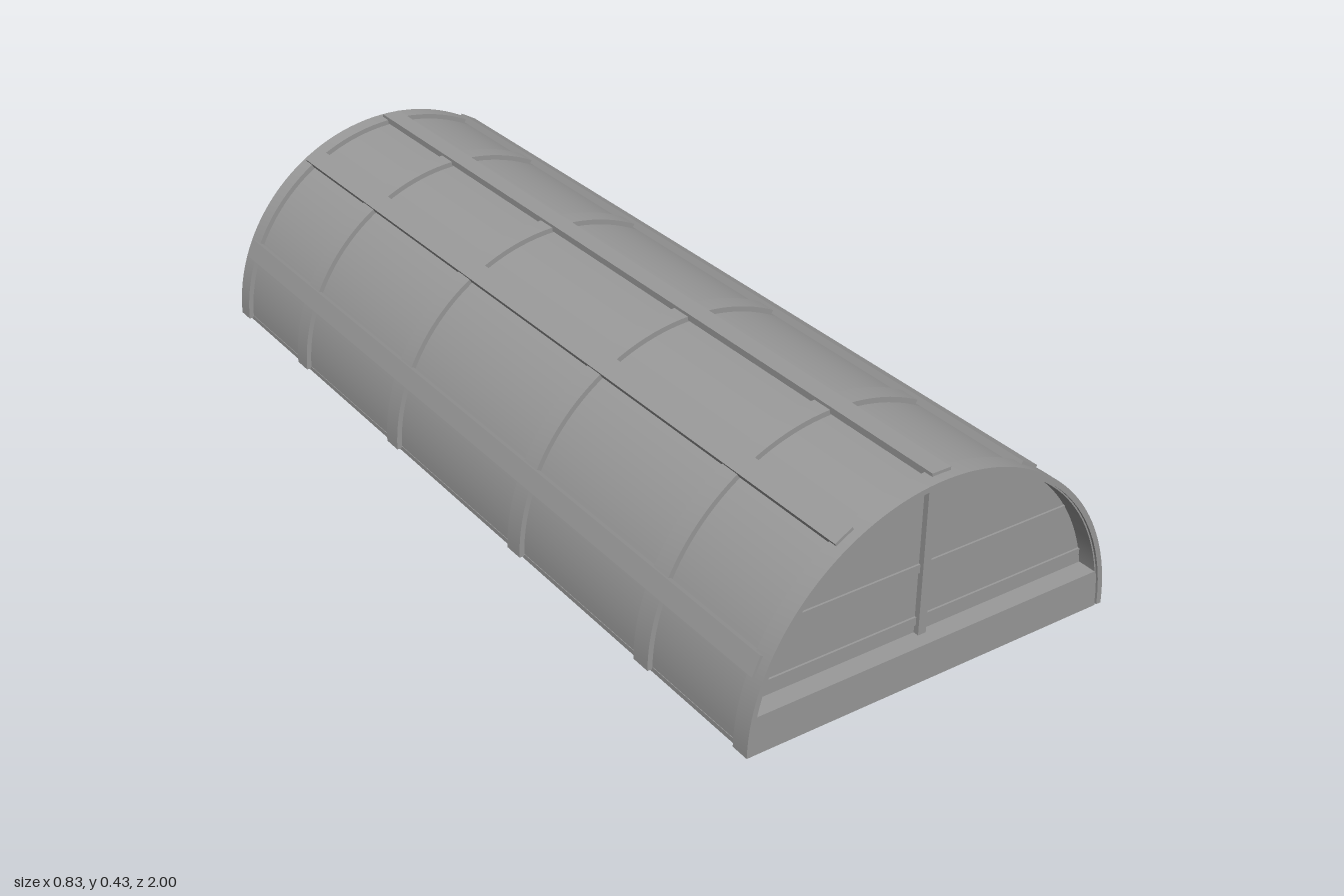
import * as THREE from 'three';
import { toCreasedNormals } from 'three/addons/utils/BufferGeometryUtils.js';

const BASE = 0.005;  // height of the arch centre
const R = 0.404;     // cover radius
const HOOP = 0.415;  // outer radius of the hoops

export function createModel() {
  const root = new THREE.Group();
  const mat = new THREE.MeshStandardMaterial({ color: 0x9a9a9a, side: THREE.DoubleSide });

  function add(name, geo, x = 0, y = 0, z = 0) {
    const mesh = new THREE.Mesh(geo, mat);
    mesh.name = name;
    mesh.position.set(x, y, z);
    root.add(mesh);
    return mesh;
  }
  const box = (name, w, h, d, x, y, z) => add(name, new THREE.BoxGeometry(w, h, d), x, y, z);
  const extrude = (shape, depth) => toCreasedNormals(
    new THREE.ExtrudeGeometry(shape, { depth, bevelEnabled: false, curveSegments: 32 }), 0.5);

  // Half-ring section swept along the length
  function arch(name, inner, outer, depth, z) {
    const s = new THREE.Shape();
    s.absarc(0, 0, outer, 0, Math.PI, false);
    s.absarc(0, 0, inner, Math.PI, 0, true);
    s.closePath();
    return add(name, extrude(s, depth), 0, BASE, z - depth / 2);
  }

  // Curved cover and hoops
  arch('cover', R - 0.003, R, 1.99, 0);
  for (const z of [-0.68, -0.255, 0.24, 0.68]) arch('hoop', R - 0.002, HOOP, 0.045, z);
  for (const z of [-0.98, 0.98]) arch('endHoop', R, HOOP, 0.04, z);

  // Lengthwise battens lying on the hoops
  for (const deg of [23.5, 60, 90, 120, 156.5]) {
    const a = THREE.MathUtils.degToRad(deg);
    const batten = box('batten', 0.042, 0.014, 1.965,
      0.414 * Math.cos(a), BASE + 0.414 * Math.sin(a), -0.003);
    batten.rotation.z = a - Math.PI / 2;
  }

  // Floor slab, and a rim that stands slightly below it
  box('floor', 0.8, 0.006, 1.96, 0, 0.006, 0);
  for (const side of [1, -1]) {
    box('sideSill', 0.01, 0.01, 1.99, side * 0.4, 0.005, 0);
    box('endSill', 0.81, 0.01, 0.01, 0, 0.005, side * 0.99);
  }

  // End walls: recessed panel, kick board, cross rails and centre post
  const panel = new THREE.Shape();
  panel.absarc(0, 0, R - 0.001, 0, Math.PI, false);
  panel.closePath();

  const tilt = Math.asin((0.08 - BASE) / R);
  const board = new THREE.Shape();
  board.absarc(0, 0, R, 0, tilt, false);
  board.absarc(0, 0, R, Math.PI - tilt, Math.PI, false);
  board.closePath();

  // The front trim is shallow, the back trim stands out further
  const ends = [{ side: 1, rail: 0.004, post: 0.012 }, { side: -1, rail: 0.017, post: 0.028 }];
  for (const { side, rail, post } of ends) {
    add('endPanel', extrude(panel, 0.01), 0, BASE, side * 0.95 - 0.005);
    add('kickBoard', extrude(board, 0.04), 0, BASE, side * 0.975 - 0.02);
    for (const y of [0.106, 0.218]) {
      const halfWidth = Math.sqrt(R * R - (y + 0.009 - BASE) ** 2) - 0.003;
      box('crossRail', halfWidth * 2, 0.018, rail, 0, y, side * (0.955 + rail / 2));
    }
    box('centrePost', 0.018, 0.328, post, -0.004, 0.244, side * (0.955 + post / 2));
  }

  return root;
}
